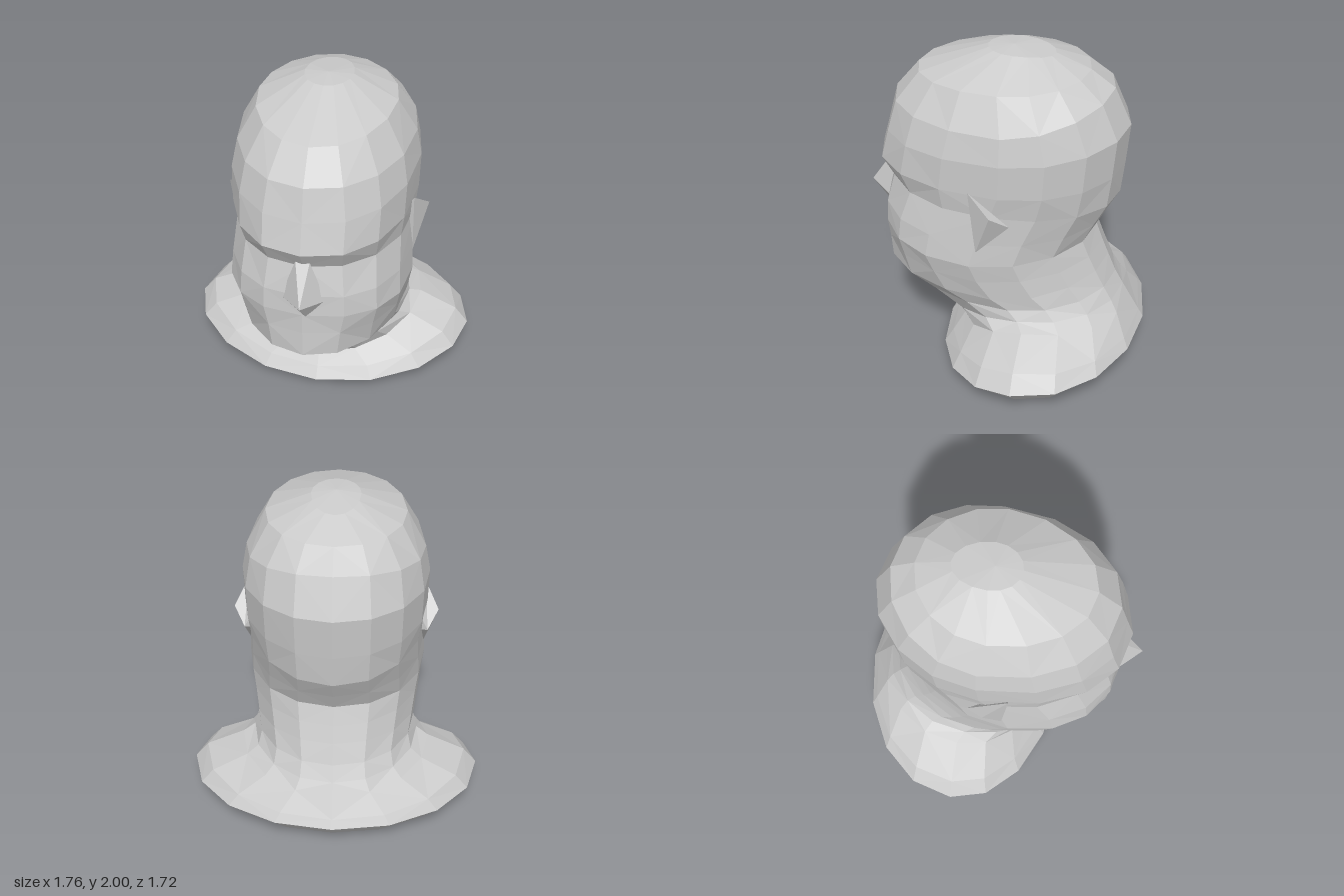
import * as THREE from 'three';
import { ConvexGeometry } from 'three/addons/geometries/ConvexGeometry.js';

const COLUMNS = 16;

// Each ring: front [y, z], side [x, y, z], back [y, z], front roundness (below 1 is boxier)
const RINGS = [
  [[1.99, 0.12], [0.14, 1.99, -0.05], [1.97, -0.27], 1],
  [[1.84, 0.53], [0.40, 1.87, -0.02], [1.89, -0.47], 1],
  [[1.67, 0.67], [0.51, 1.67, -0.06], [1.79, -0.61], 0.95],
  [[1.48, 0.72], [0.54, 1.51, -0.06], [1.57, -0.71], 0.9],
  [[1.30, 0.77], [0.535, 1.30, -0.05], [1.32, -0.69], 0.9], // brow
  [[1.18, 0.70], [0.52, 1.16, 0.00], [1.12, -0.67], 0.95],  // eyes
  [[1.00, 0.74], [0.53, 0.97, 0.08], [0.99, -0.60], 0.88],  // cheeks
  [[0.87, 0.745], [0.54, 0.82, 0.12], [0.87, -0.54], 0.88],
  [[0.74, 0.745], [0.52, 0.70, 0.08], [0.76, -0.58], 0.95], // mouth
  [[0.58, 0.75], [0.50, 0.57, 0.00], [0.66, -0.62], 1],     // chin
  [[0.46, 0.58], [0.48, 0.49, -0.10], [0.54, -0.67], 1],
  [[0.31, 0.36], [0.50, 0.43, -0.16], [0.45, -0.72], 1],    // throat
  [[0.20, 0.27], [0.57, 0.40, -0.20], [0.38, -0.76], 1],
  [[0.12, 0.33], [0.80, 0.29, -0.20], [0.26, -0.83], 1],    // shoulders
  [[0.05, 0.38], [0.88, 0.19, -0.20], [0.21, -0.86], 1],
  [[0.00, 0.32], [0.73, 0.03, -0.20], [0.05, -0.72], 1],    // base edge
];

function ringPoint([front, side, back, roundness], column) {
  const t = (column / COLUMNS) * Math.PI * 2;
  const s = Math.sin(t);
  const c = Math.abs(Math.cos(t));
  const isFront = Math.cos(t) > 0;
  const end = isFront ? front : back;
  const e = isFront ? roundness : 1;
  return [
    side[0] * Math.sign(s) * Math.abs(s) ** e,
    THREE.MathUtils.lerp(side[1], end[0], c ** 1.5),
    THREE.MathUtils.lerp(side[2], end[1], c ** e),
  ];
}

// Skin of the bust: rings joined from the crown down to the base, closed at both ends
function bustGeometry() {
  const positions = [0, 2, -0.03];
  for (const ring of RINGS) {
    for (let j = 0; j < COLUMNS; j++) positions.push(...ringPoint(ring, j));
  }
  positions.push(0, 0, -0.15);
  const last = positions.length / 3 - 1;
  const at = (i, j) => 1 + i * COLUMNS + (j % COLUMNS);
  const index = [];
  for (let j = 0; j < COLUMNS; j++) {
    index.push(0, at(0, j), at(0, j + 1));
    for (let i = 0; i < RINGS.length - 1; i++) {
      const a = at(i, j), b = at(i, j + 1), c = at(i + 1, j), d = at(i + 1, j + 1);
      // Alternate the diagonals for a faceted, hand-cut look
      if ((i + j) % 2) index.push(a, c, d, a, d, b);
      else index.push(a, c, b, b, c, d);
    }
    index.push(last, at(RINGS.length - 1, j + 1), at(RINGS.length - 1, j));
  }
  const indexed = new THREE.BufferGeometry();
  indexed.setAttribute('position', new THREE.Float32BufferAttribute(positions, 3));
  indexed.setIndex(index);
  const geometry = indexed.toNonIndexed();
  geometry.computeVertexNormals();
  return geometry;
}

const hull = (points) => new ConvexGeometry(points.map((p) => new THREE.Vector3(...p)));

export function createModel() {
  const group = new THREE.Group();
  group.name = 'bust';
  const material = new THREE.MeshStandardMaterial({ color: 0xcccccc, flatShading: true });
  const add = (name, geometry) => {
    const mesh = new THREE.Mesh(geometry, material);
    mesh.name = name;
    group.add(mesh);
  };

  add('headNeckAndShoulders', bustGeometry());

  // Nose: narrow bridge, pointed tip, two wings
  add('nose', hull([
    [-0.04, 1.22, 0.71], [0.04, 1.22, 0.71], [0.01, 1.0, 0.86], [0.02, 0.87, 0.75],
    [-0.13, 0.96, 0.70], [0.13, 0.96, 0.70], [0, 1.1, 0.6],
  ]));

  // Ears: small wedges standing off the sides of the head
  for (const [name, side] of [['leftEar', 1], ['rightEar', -1]]) {
    add(name, hull([
      [0.53, 1.32, 0.12], [0.605, 1.21, -0.02], [0.54, 1.13, -0.12],
      [0.53, 0.92, 0.08], [0.45, 1.2, 0.1], [0.45, 1.05, 0],
    ].map(([x, y, z]) => [x * side, y, z])));
  }
  return group;
}
